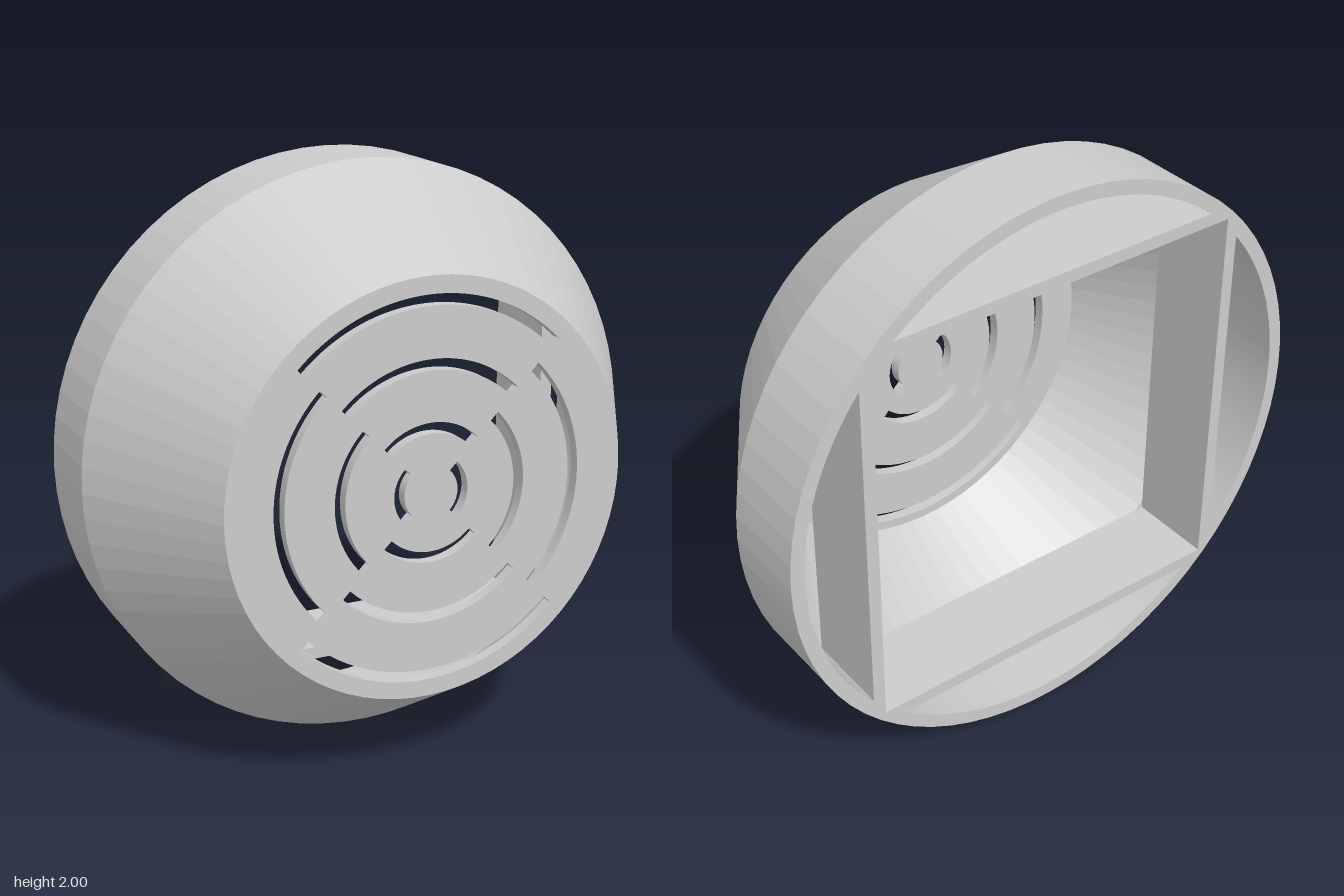
import * as THREE from 'three';

const material = new THREE.MeshStandardMaterial({ color: 0xcccccc, flatShading: true });
const SIDES = 72;
const BACK = -0.395, CREASE = -0.085, FRONT = 0.395;
const INNER = 0.95;   // inner radius of the rim
const PLATE_R = 0.68, PLATE_T = 0.04;

function disc(radius) {
  const shape = new THREE.Shape();
  shape.absarc(0, 0, radius, 0, Math.PI * 2, false);
  return shape;
}

// Extrudes a shape along z between two depths
function slab(name, shape, z0, z1) {
  const geometry = new THREE.ExtrudeGeometry(shape, {
    depth: z1 - z0, bevelEnabled: false, curveSegments: SIDES / 2,
  });
  geometry.translate(0, 0, z0);
  const mesh = new THREE.Mesh(geometry, material);
  mesh.name = name;
  return mesh;
}

// Curved slot spanning a quarter turn around the given direction
function slot(r0, r1, direction) {
  const a = direction - Math.PI / 4, b = direction + Math.PI / 4;
  const path = new THREE.Path();
  path.absarc(0, 0, r1, a, b, false);
  path.absarc(0, 0, r0, b, a, true);
  path.closePath();
  return path;
}

export function createModel() {
  const body = new THREE.Group();
  body.name = 'housing';

  // Rear rim with a square socket and four open segments around it
  const rim = disc(1);
  const s = 0.686, wall = 0.73;
  rim.holes.push(new THREE.Path([[-s, -s], [-s, s], [s, s], [s, -s]].map(p => new THREE.Vector2(...p))));
  const half = Math.acos(wall / INNER);
  for (let i = 0; i < 4; i++) {
    const mid = i * Math.PI / 2;
    const segment = new THREE.Path();
    segment.absarc(0, 0, INNER, mid - half, mid + half, false);
    segment.closePath();
    rim.holes.push(segment);
  }
  body.add(slab('rearRimAndSocket', rim, BACK, CREASE));

  // Hollow tapered shell
  const profile = [
    [1, CREASE], [0.705, FRONT], [PLATE_R, FRONT],
    [PLATE_R, FRONT - PLATE_T], [INNER, CREASE], [1, CREASE],
  ].map(p => new THREE.Vector2(...p));
  const cone = new THREE.LatheGeometry(profile, SIDES);
  cone.rotateX(Math.PI / 2);
  const shell = new THREE.Mesh(cone, material);
  shell.name = 'taperedShell';
  body.add(shell);

  // Front grille: slot pairs alternate between sides and top/bottom
  const grille = disc(PLATE_R);
  for (let i = 0; i < 6; i++) {
    const r = 0.095 + i * 0.103;
    const direction = i % 2 ? Math.PI / 2 : 0;
    grille.holes.push(slot(r, r + 0.036, direction), slot(r, r + 0.036, direction + Math.PI));
  }
  body.add(slab('frontGrille', grille, FRONT - PLATE_T, FRONT));

  body.position.y = 1;
  const model = new THREE.Group();
  model.name = 'speakerHousing';
  model.add(body);
  return model;
}
